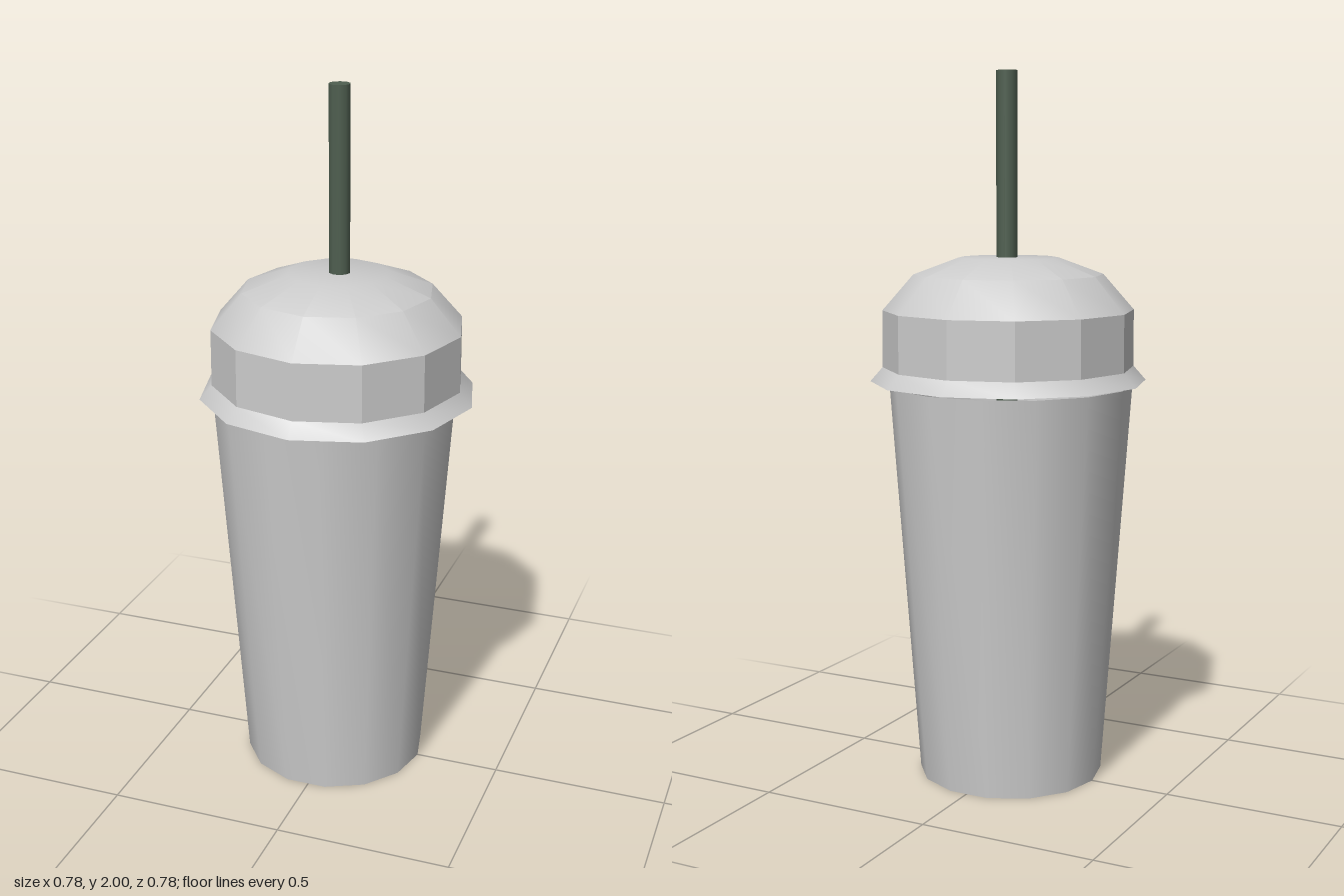
import * as THREE from 'three';
import { toCreasedNormals } from 'three/addons/utils/BufferGeometryUtils.js';

const grey = new THREE.MeshStandardMaterial({ color: 0xcccccc, side: THREE.DoubleSide });
const green = new THREE.MeshStandardMaterial({ color: 0x4f5f50 });

// Turned part from [radius, height] pairs, listed from bottom to top
function turned(name, profile, sides, crease, start = 0) {
  const points = profile.map(([r, y]) => new THREE.Vector2(r, y));
  const geometry = new THREE.LatheGeometry(points, sides, start);
  const mesh = new THREE.Mesh(toCreasedNormals(geometry, crease), grey);
  mesh.name = name;
  return mesh;
}

export function createModel() {
  const model = new THREE.Group();
  model.name = 'drinkCup';

  // Tapered open cup with a closed base, a corner pointing to each side
  const cup = turned('cup', [[0, 0], [0.263, 0], [0.344, 1.13]], 14, 0.7, Math.PI / 2);
  cup.position.x = -0.007;
  model.add(cup);

  // Domed lid with a flared rim, floating just above the cup
  model.add(turned('domeLid', [
    [0.39, 1.14], [0.355, 1.18], [0.354, 1.34], [0.267, 1.44], [0.14, 1.487], [0, 1.488],
  ], 12, 0.51));

  // Straw through the lid, down into the cup
  const bottom = 0.05, top = 2;
  const straw = new THREE.Mesh(
    new THREE.CylinderGeometry(0.03, 0.03, top - bottom, 10, 1, false, Math.PI / 2), green);
  straw.name = 'straw';
  straw.position.set(0.005, (top + bottom) / 2, 0);
  model.add(straw);

  return model;
}
